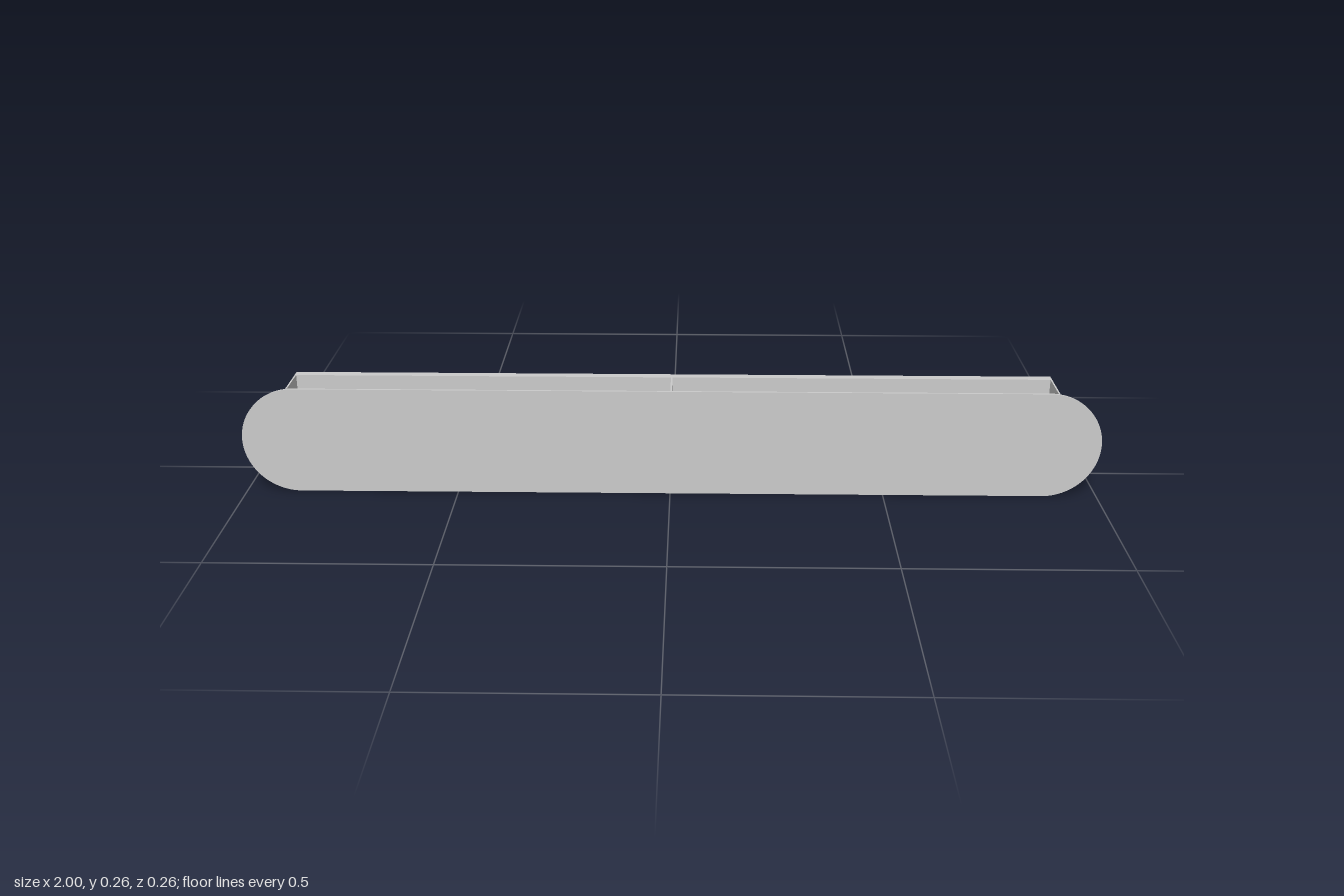
import * as THREE from 'three';

const T = 0.004; // sheet thickness
const BOTTOM = 0.03, TOP = 0.2, HALF = 0.93; // tray extents
const BACK = -0.132, PANEL = -0.11, FRONT = 0.127;

const material = new THREE.MeshStandardMaterial({ color: 0xcccccc });

// Box given by its minimum and maximum corners
function sheet(name, x0, x1, y0, y1, z0, z1) {
  const mesh = new THREE.Mesh(new THREE.BoxGeometry(x1 - x0, y1 - y0, z1 - z0), material);
  mesh.position.set((x0 + x1) / 2, (y0 + y1) / 2, (z0 + z1) / 2);
  mesh.name = name;
  return mesh;
}

// Front plate with fully rounded ends
function frontPlate() {
  const r = 0.1285, c = 1 - r;
  const shape = new THREE.Shape();
  shape.absarc(c, r, r, -Math.PI / 2, Math.PI / 2, false);
  shape.absarc(-c, r, r, Math.PI / 2, Math.PI * 1.5, false);
  shape.closePath();
  const geo = new THREE.ExtrudeGeometry(shape, { depth: 0.005, bevelEnabled: false, curveSegments: 32 });
  const mesh = new THREE.Mesh(geo, material);
  mesh.position.z = FRONT;
  mesh.name = 'frontPlate';
  return mesh;
}

// Wall hanger: a keyhole plate with a ledge returning to the back panel
function hanger(x) {
  const group = new THREE.Group();
  group.name = 'wallHanger';
  const w = 0.03, low = 0.11;
  const shape = new THREE.Shape();
  shape.moveTo(-w, low);
  shape.lineTo(w, low);
  shape.lineTo(w, TOP - T);
  shape.lineTo(-w, TOP - T);
  shape.closePath();
  const hole = new THREE.Path();
  const r = 0.014, s = 0.006, cy = 0.14;
  const a = Math.acos(s / r);
  hole.absarc(0, cy, r, a, Math.PI - a, true);
  hole.absarc(0, 0.176, s, Math.PI, 0, true);
  hole.closePath();
  shape.holes.push(hole);
  const geo = new THREE.ExtrudeGeometry(shape, { depth: T, bevelEnabled: false, curveSegments: 16 });
  const plate = new THREE.Mesh(geo, material);
  plate.position.z = BACK;
  plate.name = 'keyholePlate';
  group.add(plate, sheet('hangerLedge', -w, w, low, low + T, BACK + T, PANEL));
  group.position.x = x;
  return group;
}

export function createModel() {
  const model = new THREE.Group();
  model.name = 'wallShelf';
  model.add(frontPlate());

  // Back panel with a top flange turned towards the wall
  model.add(sheet('backPanel', -HALF + T, HALF - T, BOTTOM, TOP, PANEL - T, PANEL));
  model.add(sheet('backFlange', -HALF + T, HALF - T, TOP - T, TOP, BACK, PANEL - T));

  // End walls and hangers, mirrored
  for (const side of [-1, 1]) {
    const x = side * (HALF - T / 2);
    model.add(sheet(side > 0 ? 'leftWall' : 'rightWall', x - T / 2, x + T / 2, BOTTOM, TOP, BACK, FRONT));
    model.add(hanger(side * 0.84));
  }

  // Two floor slats with open gaps between
  for (const z of [-0.083, 0.02]) {
    model.add(sheet('floorSlat', -HALF + T, HALF - T, BOTTOM, BOTTOM + T, z, z + 0.07));
  }

  // Centre divider
  model.add(sheet('divider', -T / 2, T / 2, BOTTOM + T, TOP, PANEL, FRONT));
  return model;
}
